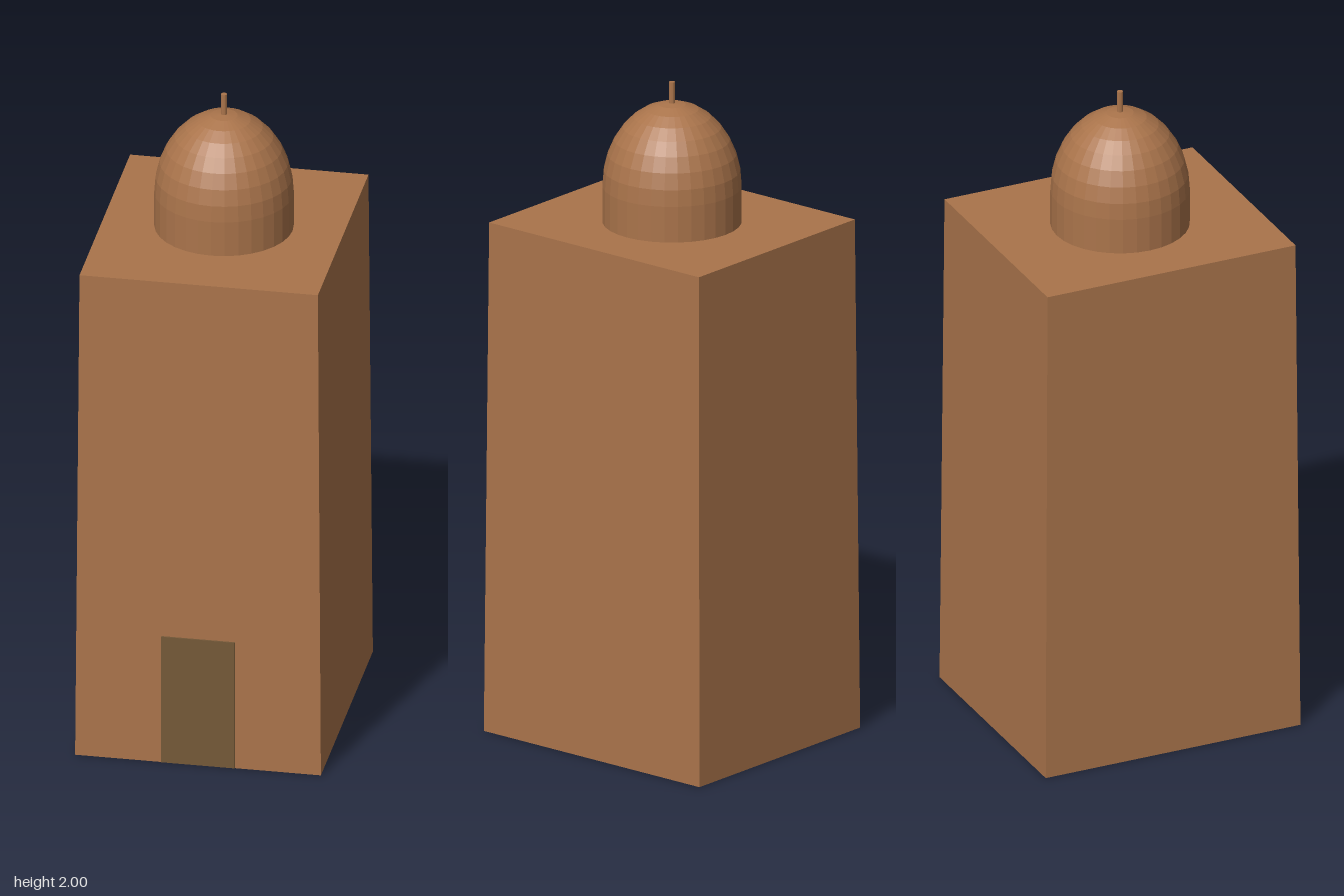
import * as THREE from 'three';

const clay = new THREE.MeshStandardMaterial({ color: 0xaa744b, flatShading: true });
clay.name = 'clay';
const darkWood = new THREE.MeshStandardMaterial({ color: 0x755938, flatShading: true });
darkWood.name = 'dark wood';

const CENTRE_Z = -0.002;

export function createModel() {
  const model = new THREE.Group();
  model.name = 'domedTower';

  const add = (name, geometry, material, y, z = CENTRE_Z) => {
    const mesh = new THREE.Mesh(geometry, material);
    mesh.name = name;
    mesh.position.set(0, y, z);
    model.add(mesh);
  };

  // Tower body: a box tapering slightly towards the roof
  const height = 1.57;
  const body = new THREE.BoxGeometry(0.734, height, 0.826);
  const p = body.attributes.position;
  for (let i = 0; i < p.count; i++) {
    if (p.getY(i) > 0) {
      p.setX(i, Math.sign(p.getX(i)) * 0.356);
      p.setZ(i, Math.sign(p.getZ(i)) * 0.402);
    }
  }
  body.computeVertexNormals();
  add('towerBody', body, clay, height / 2);

  // Door: thin plate standing just proud of the front wall
  add('door', new THREE.BoxGeometry(0.22, 0.412, 0.009), darkWood, 0.206, 0.4085);

  // Dome: short drum rising into a tall half ellipse
  const profile = [new THREE.Vector2(0.205, height)];
  const rings = 8, springY = 1.68, rise = 0.256;
  for (let i = 0; i <= rings; i++) {
    const a = (i / rings) * Math.PI / 2;
    profile.push(new THREE.Vector2(i === rings ? 0 : 0.205 * Math.cos(a), springY + rise * Math.sin(a)));
  }
  add('dome', new THREE.LatheGeometry(profile, 32), clay, 0);

  // Finial rod on the crown
  add('finial', new THREE.CylinderGeometry(0.009, 0.009, 0.08, 12), clay, 1.96);

  return model;
}
